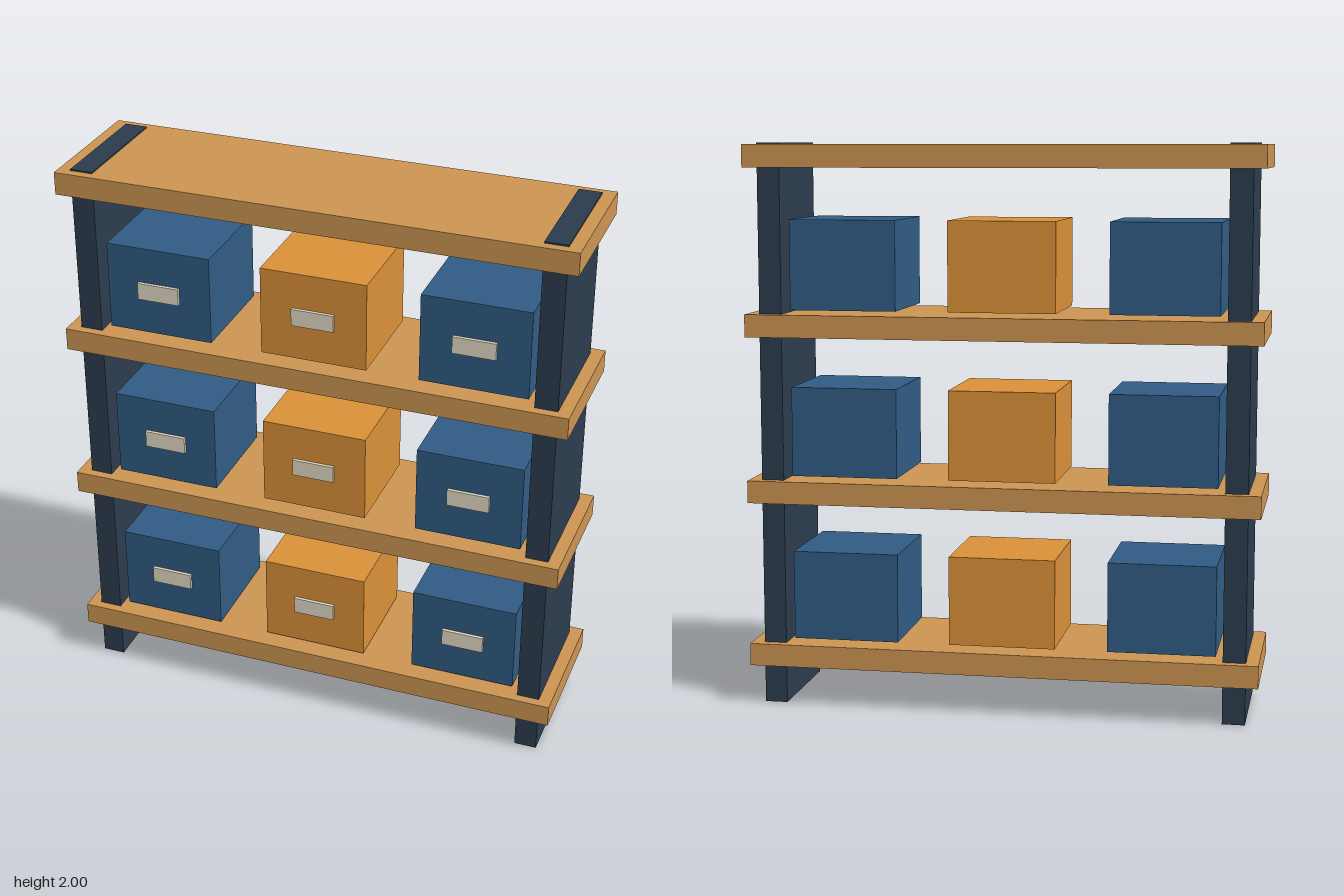
import * as THREE from 'three';

const paint = (color) => new THREE.MeshStandardMaterial({ color });

export function createModel() {
  const model = new THREE.Group();
  model.name = 'storageShelf';

  const wood = paint(0xcd9552);
  const steel = paint(0x2c3c4e);
  const blue = paint(0x315c84);
  const orange = paint(0xdb9138);
  const cream = paint(0xe3dbc5);

  const addBox = (parent, name, size, position, material) => {
    const mesh = new THREE.Mesh(new THREE.BoxGeometry(...size), material);
    mesh.name = name;
    mesh.position.set(...position);
    parent.add(mesh);
    return mesh;
  };

  // Side panels, running through all shelves and just proud of the top one
  for (const side of [-1, 1]) {
    addBox(model, side > 0 ? 'leftPanel' : 'rightPanel',
      [0.08, 2, 0.434], [side * 0.822, 1, 0], steel);
  }

  // Four evenly spaced boards
  const firstTop = 0.22, spacing = 0.5915, thickness = 0.08;
  for (let i = 0; i < 4; i++) {
    addBox(model, `shelf${i + 1}`, [1.814, thickness, 0.5],
      [0, firstTop + i * spacing - thickness / 2, 0], wood);
  }

  // Three storage bins on each of the lower boards, with a label plate in front
  const [w, h, d] = [0.38, 0.318, 0.386];
  for (let row = 0; row < 3; row++) {
    for (let col = -1; col <= 1; col++) {
      const bin = new THREE.Group();
      bin.name = `bin${row + 1}_${col + 2}`;
      bin.position.set(col * 0.566, firstTop + row * spacing + 0.013 + h / 2, 0);
      addBox(bin, 'binBody', [w, h, d], [0, 0, 0], col === 0 ? orange : blue);
      addBox(bin, 'labelPlate', [0.151, 0.061, 0.016], [0, 0, d / 2 + 0.004], cream);
      model.add(bin);
    }
  }

  return model;
}
